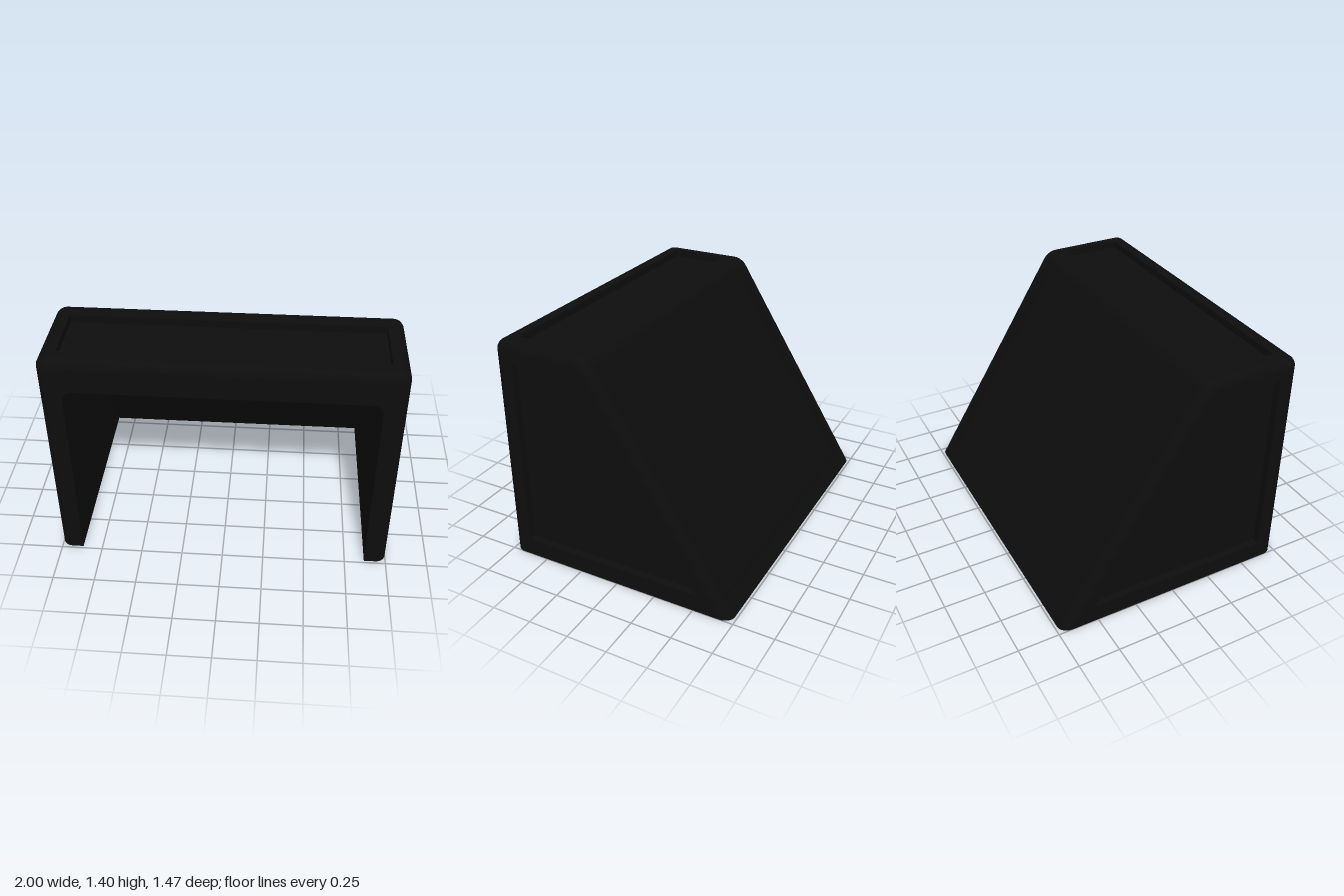
import * as THREE from 'three';
import { toCreasedNormals } from 'three/addons/utils/BufferGeometryUtils.js';

const black = new THREE.MeshStandardMaterial({ color: 0x0d0d0d, side: THREE.DoubleSide });
black.name = 'black';

const FRONT = 0.735, BACK = -0.735, TOP = 1.4, HALF = 1;
const SLOPE_TOP = 0.148;              // z where the slope would meet the roof plane
const R = 0.06, RIDGE = 0.11;         // edge radius, roof-to-slope radius
const IN_X = 0.87, IN_Y = 1.2, IN_BACK = -0.55; // hollow inside
const DEPTH = 0.045, STEPS = 8;

// 2D vectors in profile are (z, y)
const V2 = (x, y) => new THREE.Vector2(x, y);
const slopeDir = V2(SLOPE_TOP - BACK, TOP).normalize();
const slopeN = V2(-slopeDir.y, slopeDir.x);
const slopeLen = Math.hypot(SLOPE_TOP - BACK, TOP);
const lean = slopeDir.x / slopeDir.y;

function mesh(name, geometry) {
  const m = new THREE.Mesh(geometry, black);
  m.name = name;
  return m;
}

function buffer(positions, index, normals) {
  const g = new THREE.BufferGeometry();
  g.setAttribute('position', new THREE.Float32BufferAttribute(positions, 3));
  g.setIndex(index);
  if (normals) g.setAttribute('normal', new THREE.Float32BufferAttribute(normals, 3));
  return g;
}

// Profile of the body: core points with outward normals, front bottom to back bottom
function bodyProfile() {
  const rows = [{ c: V2(FRONT - R, 0), n: V2(1, 0) }];
  const arc = (centre, radius, from, to) => {
    for (let i = 0; i <= STEPS; i++) {
      const a = from + (to - from) * i / STEPS;
      const n = V2(Math.cos(a), Math.sin(a));
      rows.push({ c: centre.clone().addScaledVector(n, radius - R), n });
    }
  };
  arc(V2(FRONT - R, TOP - R), R, 0, Math.PI / 2);
  const cy = TOP - RIDGE;
  const cz = BACK + (cy * slopeN.y + RIDGE) / slopeDir.y;
  arc(V2(cz, cy), RIDGE, Math.PI / 2, Math.atan2(slopeN.y, slopeN.x));
  rows.push({ c: V2(BACK, 0).addScaledVector(slopeN, -R), n: slopeN, last: true });
  return rows;
}

// Rounded edges and corners: quarter rounds swept along the profile
function roundedEdges(profile) {
  const cols = [];
  for (let i = 0; i <= STEPS; i++) cols.push({ s: -1, a: i / STEPS * Math.PI / 2 });
  for (let i = STEPS; i >= 0; i--) cols.push({ s: 1, a: i / STEPS * Math.PI / 2 });
  const grid = profile.map(({ c, n, last }) => cols.map(({ s, a }) => {
    const p = c.clone().addScaledVector(n, R * Math.sin(a));
    if (last) p.addScaledVector(slopeDir, -p.y / slopeDir.y); // cut level with the ground
    return new THREE.Vector3(s * (HALF - R + R * Math.cos(a)), p.y, p.x);
  }));
  const pos = [], nor = [], idx = [], w = cols.length;
  const flats = [0, STEPS + 1, 2 * STEPS + 2];
  grid.forEach((row, i) => row.forEach((p, j) => {
    const { s, a } = cols[j], n = profile[i].n;
    pos.push(p.x, p.y, p.z);
    nor.push(s * Math.cos(a), n.y * Math.sin(a), n.x * Math.sin(a));
    if (i === grid.length - 1 || j === w - 1) return;
    if (j === STEPS && flats.includes(i)) return; // flat faces are separate
    const k = i * w + j;
    idx.push(k, k + 1, k + w + 1, k, k + w + 1, k + w);
  }));
  return { geometry: buffer(pos, idx, nor), grid };
}

// Flat face with a recessed panel, drawn in (u, v) and placed by its axes
function recessedFace(name, outline, hole, origin, u, v) {
  const g = new THREE.Group();
  g.name = name;
  if (THREE.ShapeUtils.isClockWise(hole)) hole = hole.slice().reverse();
  const face = new THREE.Shape(outline);
  face.holes.push(new THREE.Path(hole));
  const floor = new THREE.ShapeGeometry(new THREE.Shape(hole));
  floor.translate(0, 0, -DEPTH);
  const pos = [], idx = [];
  hole.forEach((p, i) => {
    const q = hole[(i + 1) % hole.length], k = i * 4;
    pos.push(p.x, p.y, 0, q.x, q.y, 0, q.x, q.y, -DEPTH, p.x, p.y, -DEPTH);
    idx.push(k, k + 1, k + 2, k, k + 2, k + 3);
  });
  const walls = buffer(pos, idx);
  walls.computeVertexNormals();
  g.add(mesh(name + 'Frame', new THREE.ShapeGeometry(face)),
    mesh(name + 'Panel', floor), mesh(name + 'Recess', walls));
  g.applyMatrix4(new THREE.Matrix4()
    .makeBasis(u, v, new THREE.Vector3().crossVectors(u, v)).setPosition(origin));
  return g;
}

const rect = (x0, y0, x1, y1) => [V2(x0, y0), V2(x1, y0), V2(x1, y1), V2(x0, y1)];

export function createModel() {
  const model = new THREE.Group();
  model.name = 'shelter';
  const V3 = (x, y, z) => new THREE.Vector3(x, y, z);
  const profile = bodyProfile();
  const { geometry, grid } = roundedEdges(profile);
  model.add(mesh('roundedEdges', geometry));

  // Side walls
  const inset = y => BACK + y * lean + 0.12 / slopeDir.y;
  const sideHole = [V2(0.615, 0.11), V2(0.615, 1.28), V2(inset(1.28), 1.28), V2(inset(0.11), 0.11)];
  for (const s of [-1, 1]) {
    const flip = p => V2(-s * p.x, p.y);
    const outline = grid.map(row => flip(V2(row[0].z, row[0].y)));
    model.add(recessedFace(s > 0 ? 'leftSide' : 'rightSide', outline, sideHole.map(flip),
      V3(s * HALF, 0, 0), V3(0, 0, -s), V3(0, 1, 0)));
  }

  // Roof
  const w = HALF - R;
  const ridgeZ = grid[2 * STEPS > 0 ? STEPS + 2 : 0][STEPS].z;
  model.add(recessedFace('roof', rect(-w, R - FRONT, w, -ridgeZ), rect(-0.9, -0.63, 0.9, -0.27),
    V3(0, TOP, 0), V3(1, 0, 0), V3(0, 0, -1)));

  // Sloping back
  const slopeEnd = grid[2 * STEPS + 2][STEPS].y / slopeDir.y;
  model.add(recessedFace('slopingBack', rect(-w, 0, w, slopeEnd), rect(-0.9, 0.11, 0.9, slopeLen - 0.11),
    V3(0, 0, BACK), V3(-1, 0, 0), V3(0, slopeDir.y, slopeDir.x)));

  // Arch of the opening, from one foot over to the other
  const arch = [V2(-IN_X, 0)];
  for (const s of [-1, 1]) for (let i = 0; i <= STEPS; i++) {
    const a = (s < 0 ? Math.PI : Math.PI / 2) - i / STEPS * Math.PI / 2;
    arch.push(V2(s * (IN_X - R) + R * Math.cos(a), IN_Y - R + R * Math.sin(a)));
  }
  arch.push(V2(IN_X, 0));

  // Front frame
  const front = new THREE.ShapeGeometry(new THREE.Shape(
    [V2(-w, 0), ...arch, V2(w, 0), V2(w, TOP - R), V2(-w, TOP - R)]));
  front.translate(0, 0, FRONT);
  model.add(mesh('frontFrame', front));

  // Inner walls and ceiling
  const pos = [], idx = [];
  arch.forEach((p, i) => {
    pos.push(p.x, p.y, IN_BACK + p.y * lean, p.x, p.y, FRONT);
    const k = i * 2;
    if (i < arch.length - 1) idx.push(k, k + 2, k + 3, k, k + 3, k + 1);
  });
  model.add(mesh('innerLining', toCreasedNormals(buffer(pos, idx), 0.5)));

  // Inner sloping wall
  const inner = new THREE.ShapeGeometry(new THREE.Shape(arch));
  const ip = inner.attributes.position;
  for (let i = 0; i < ip.count; i++) ip.setZ(i, IN_BACK + ip.getY(i) * lean);
  inner.computeVertexNormals();
  model.add(mesh('innerBack', inner));

  // Underside of the walls
  const plan = row => row.map(p => V2(p.x, p.z));
  const frontRow = plan(grid[0]), backRow = plan(grid[grid.length - 1]);
  const rim = new THREE.ShapeGeometry(new THREE.Shape([
    ...frontRow.slice(0, STEPS + 1), V2(-IN_X, FRONT), V2(-IN_X, IN_BACK),
    V2(IN_X, IN_BACK), V2(IN_X, FRONT), ...frontRow.slice(STEPS + 1), ...backRow.reverse()]));
  rim.rotateX(Math.PI / 2);
  model.add(mesh('bottomRim', rim));

  return model;
}
